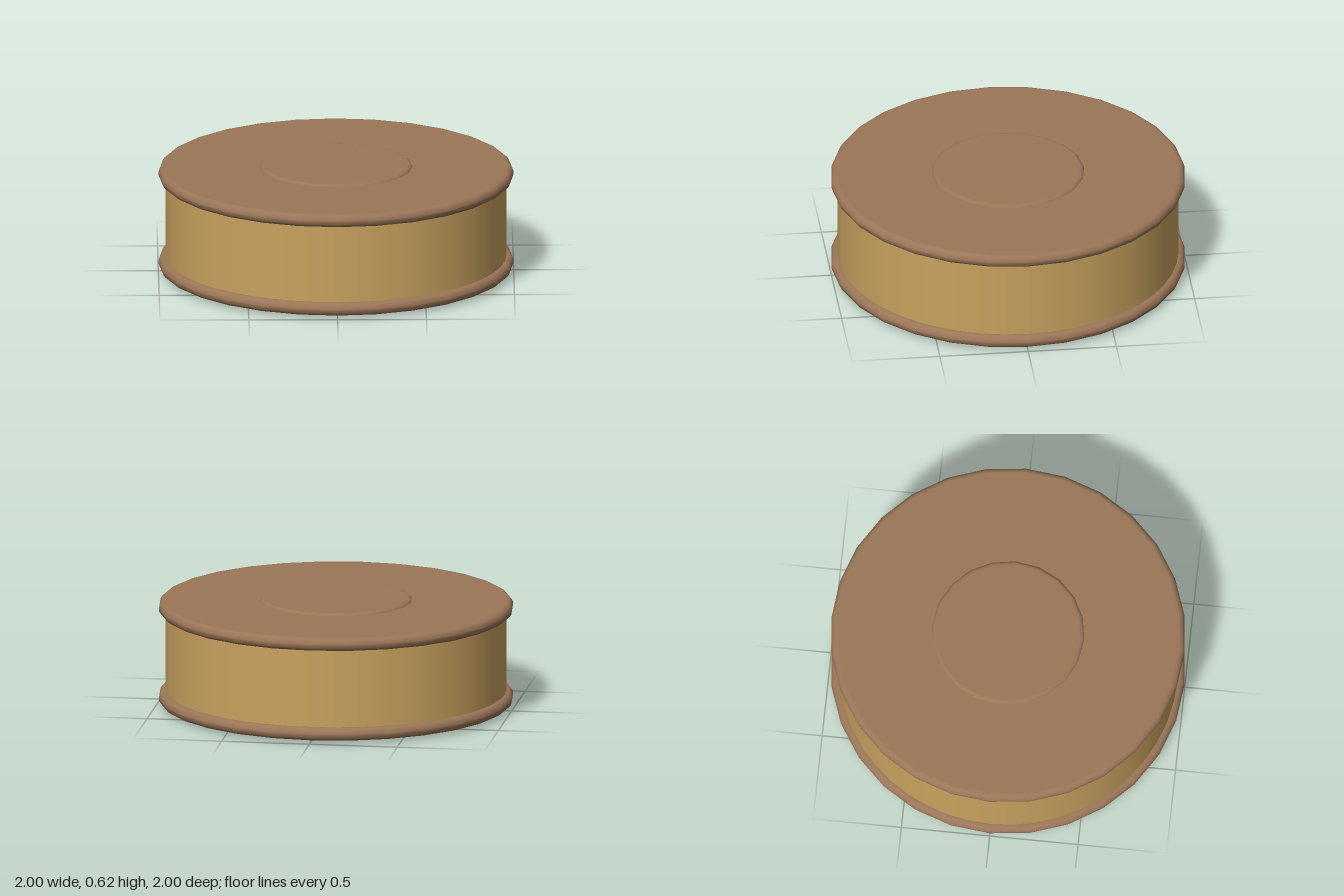
import * as THREE from 'three';

const brown = new THREE.MeshStandardMaterial({ name: 'brown wood', color: 0x9b7658 });
const tan = new THREE.MeshStandardMaterial({ name: 'tan drum', color: 0xc9a25f });

// Solid disc with a rounded edge, centred on y = 0
function roundedDisc(radius, height, round, sides) {
  const h = height / 2;
  const points = [new THREE.Vector2(0, -h)];
  for (const side of [-1, 1]) {
    for (let i = 0; i <= 4; i++) {
      const a = (side < 0 ? i - 4 : i) * Math.PI / 8;
      if (side > 0 && i === 0 && h - round < 0.001) continue;
      points.push(new THREE.Vector2(
        radius - round + Math.cos(a) * round,
        side * (h - round) + Math.sin(a) * round
      ));
    }
  }
  points.push(new THREE.Vector2(0, h));
  return new THREE.LatheGeometry(points, sides);
}

export function createModel() {
  const group = new THREE.Group();
  const add = (name, geometry, material, y) => {
    const mesh = new THREE.Mesh(geometry, material);
    mesh.name = name;
    mesh.position.y = y;
    group.add(mesh);
  };

  // Drum wall between the two flanges
  add('drum', new THREE.CylinderGeometry(0.96, 0.96, 0.5, 48), tan, 0.312);

  // Wide flanges with softly rounded rims
  const flange = roundedDisc(1, 0.076, 0.036, 28);
  add('bottomFlange', flange, brown, 0.053);
  add('topFlange', flange, brown, 0.571);

  // Shallow hubs standing just proud of the flanges
  const hub = roundedDisc(0.435, 0.06, 0.029, 20);
  add('bottomHub', hub, brown, 0.03);
  add('topHub', hub, brown, 0.594);

  return group;
}
